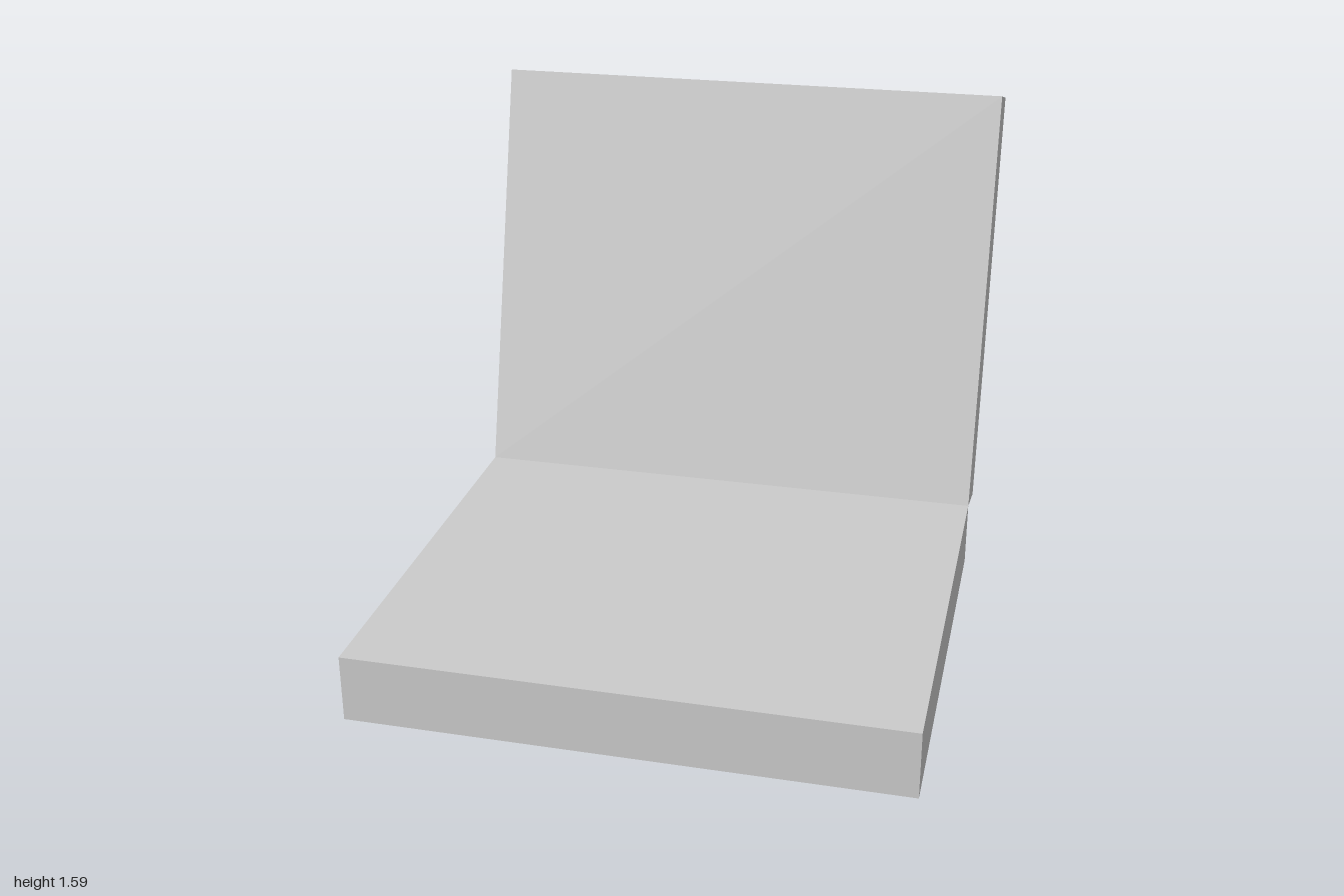
import * as THREE from 'three';

const WIDTH = 1.746, DEPTH = 1.421, THICK = 0.218;
const TILT = THREE.MathUtils.degToRad(15);

export function createModel() {
  const model = new THREE.Group();
  model.name = 'foldedPanels';
  const material = new THREE.MeshStandardMaterial({ color: 0xcccccc, flatShading: true });

  // Flat base slab, front edge at z = 1
  const base = new THREE.Mesh(new THREE.BoxGeometry(WIDTH, THICK, DEPTH), material);
  base.name = 'base';
  base.position.set(0, THICK / 2, 1 - DEPTH / 2);
  model.add(base);

  // Upright slab, leaning back about the base's upper rear edge
  const hinge = new THREE.Group();
  hinge.name = 'backHinge';
  hinge.position.set(0, THICK, 1 - DEPTH);
  hinge.rotation.x = -TILT;
  const back = new THREE.Mesh(new THREE.BoxGeometry(WIDTH, DEPTH, THICK), material);
  back.name = 'back';
  back.position.set(0, DEPTH / 2, -THICK / 2);
  hinge.add(back);
  model.add(hinge);

  return model;
}
